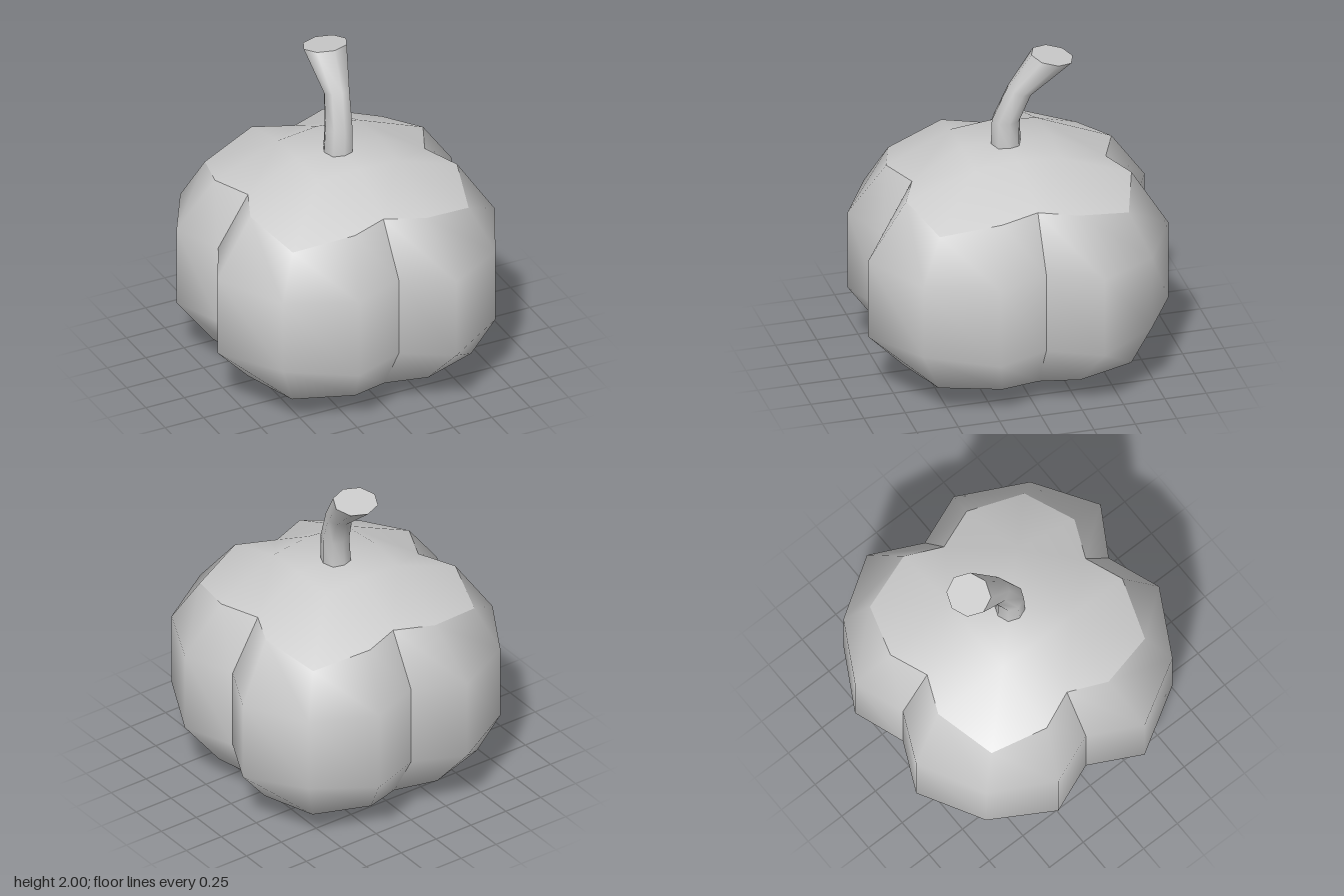
import * as THREE from 'three';
import { mergeVertices } from 'three/addons/utils/BufferGeometryUtils.js';

const V = (x, y, z) => new THREE.Vector3(x, y, z);
const material = new THREE.MeshStandardMaterial({ color: 0xcccccc });

// Smooth mesh from four-cornered faces, corners counter-clockwise from outside
function quadMesh(name, quads) {
  const pts = quads.flatMap(([a, b, c, d]) => [a, b, c, a, c, d]);
  const geometry = mergeVertices(new THREE.BufferGeometry().setFromPoints(pts));
  geometry.computeVertexNormals();
  const mesh = new THREE.Mesh(geometry, material);
  mesh.name = name;
  return mesh;
}

// Outlines seen from above, four columns per lobe, starting in the +x groove
const belly = [
  [0.76, -0.03], [0.88, 0.28], [0.68, 0.69], [0.31, 0.92],
  [0.02, 0.75], [-0.3, 0.87], [-0.69, 0.66], [-0.92, 0.27],
  [-0.76, -0.04], [-0.88, -0.34], [-0.67, -0.71], [-0.28, -0.92],
  [0.02, -0.78], [0.33, -0.89], [0.69, -0.69], [0.91, -0.34],
];
const shoulder = [
  [0.58, -0.03], [0.67, 0.21], [0.57, 0.56], [0.24, 0.67],
  [0.01, 0.57], [-0.22, 0.66], [-0.57, 0.55], [-0.67, 0.2],
  [-0.57, -0.03], [-0.67, -0.26], [-0.57, -0.59], [-0.21, -0.7],
  [0.02, -0.6], [0.25, -0.69], [0.58, -0.58], [0.68, -0.25],
];

// Ring whose height repeats per lobe: groove, side, crest, side
const ring = (outline, heights, s = 1) =>
  outline.map(([x, z], i) => V(x * s, heights[i % 4], z * s));

// Eight points around the middle of the top or bottom: mid, corner, mid, ...
const innerRing = (r, yMid, yCorner) => Array.from({ length: 8 }, (_, i) => {
  const a = i * Math.PI / 4, odd = i % 2;
  const d = odd ? r * 1.35 : r;
  return V(Math.cos(a) * d, odd ? yCorner : yMid, Math.sin(a) * d);
});

// The four faces that close one quarter of the top or bottom
function quarterCap(k, border, inner, centre) {
  const [c0, c1, c2, c3, c4] = [0, 1, 2, 3, 4].map(i => border[(4 * k + i) % 16]);
  const [m0, q, m1] = [0, 1, 2].map(i => inner[(2 * k + i) % 8]);
  return [[q, m0, c0, c1], [q, c1, c2, c3], [q, c3, c4, m1], [q, m1, centre, m0]];
}

function createBody() {
  const body = new THREE.Group();
  body.name = 'pumpkinBody';
  const rows = [
    ring(shoulder, [0.14, 0.17, 0.18, 0.17], 1.02),
    ring(belly, [0.43, 0.43, 0.45, 0.43]),
    ring(belly, [0.93, 0.93, 0.91, 0.93]),
    ring(shoulder, [1.25, 1.25, 1.17, 1.25]),
  ];
  const under = innerRing(0.3, 0, 0.01);
  const over = innerRing(0.27, 1.43, 1.41);

  // Lobes, separate so that the grooves between them stay sharp
  for (let k = 0; k < 4; k++) {
    const quads = quarterCap(k, rows[0], under, V(0, 0, 0));
    for (let r = 0; r < 3; r++) {
      for (let c = 4 * k; c < 4 * k + 4; c++) {
        const n = (c + 1) % 16;
        quads.push([rows[r][c], rows[r + 1][c], rows[r + 1][n], rows[r][n]]);
      }
    }
    body.add(quadMesh('lobe' + (k + 1), quads));
  }

  // Top, wound the other way so it faces up
  const top = [];
  for (let k = 0; k < 4; k++) {
    for (const [a, b, c, d] of quarterCap(k, rows[3], over, V(0, 1.42, 0))) top.push([a, d, c, b]);
  }
  body.add(quadMesh('pumpkinTop', top));
  return body;
}

function createStem() {
  const stem = new THREE.Group();
  stem.name = 'stem';
  // Cross-sections: centre x, y, z, radius in x, radius in z, tilt
  const rings = [
    [0, 1.4, 0, 0.09, 0.09, 0],
    [0.005, 1.58, 0, 0.085, 0.085, 0],
    [0.03, 1.77, -0.075, 0.08, 0.075, 0.02],
    [0.05, 1.98, -0.267, 0.138, 0.125, 0.02],
  ].map(([x, y, z, rx, rz, tilt]) => Array.from({ length: 8 }, (_, i) => {
    const a = i * Math.PI / 4;
    return V(x + rx * Math.cos(a), y + tilt * Math.sin(a), z + rz * Math.sin(a));
  }));
  const quads = [];
  for (let r = 0; r < 3; r++) {
    for (let i = 0; i < 8; i++) {
      const n = (i + 1) % 8;
      quads.push([rings[r][i], rings[r + 1][i], rings[r + 1][n], rings[r][n]]);
    }
  }
  stem.add(quadMesh('stemSide', quads));

  // Flat cut end
  const e = rings[3];
  stem.add(quadMesh('stemEnd', [0, 2, 4].map(i => [e[0], e[(i + 3) % 8], e[i + 2], e[i + 1]])
    .map(q => q.map(p => p.clone()))));
  return stem;
}

export function createModel() {
  const model = new THREE.Group();
  model.name = 'pumpkin';
  model.add(createBody(), createStem());
  return model;
}
